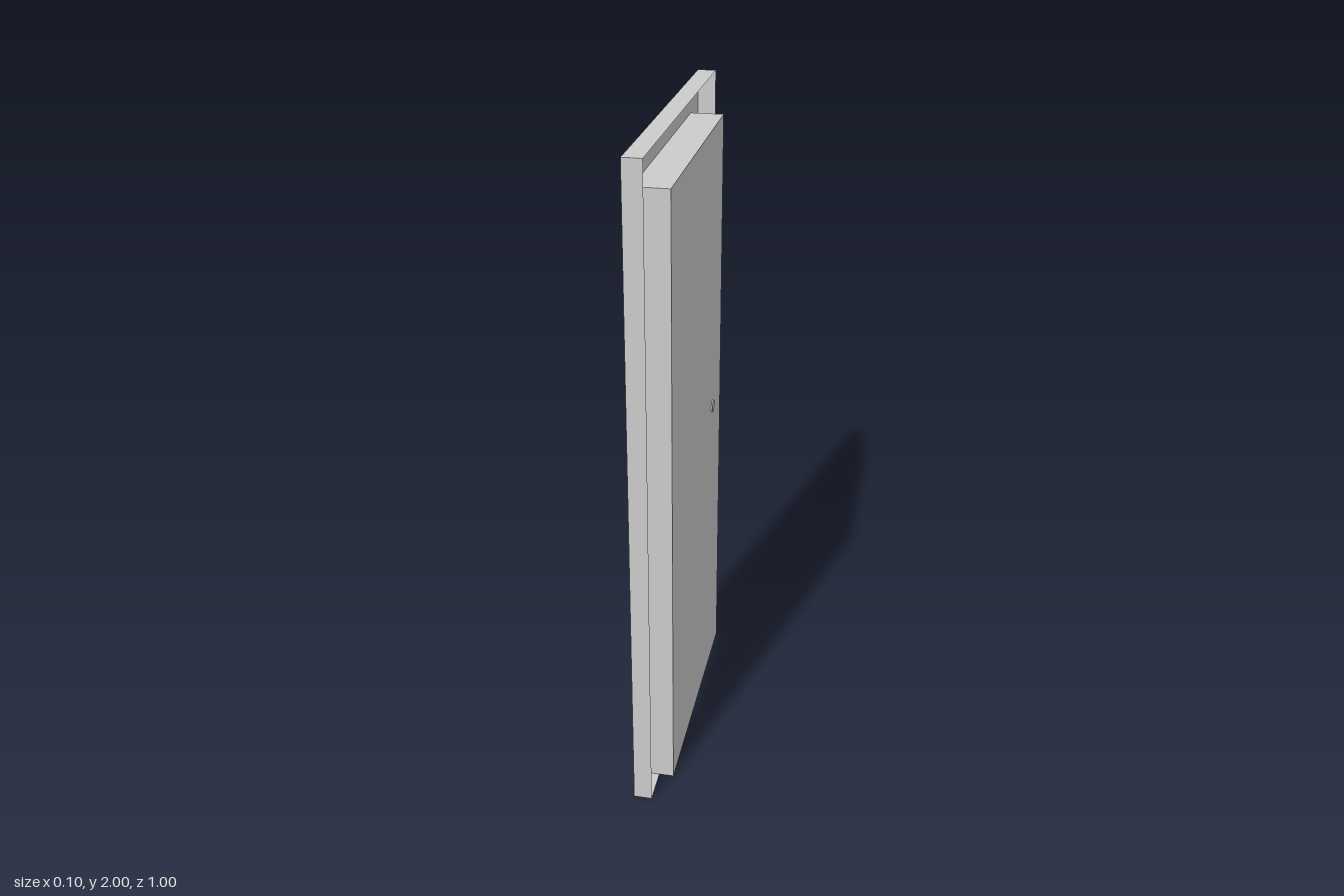
import * as THREE from 'three';

export function createModel() {
  const model = new THREE.Group();
  const material = new THREE.MeshStandardMaterial({
    color: 0xcccccc, side: THREE.DoubleSide, flatShading: true,
  });

  // Key planes: frame face, open rim of the frame, door leaf
  const faceX = -0.052, rimX = 0.003, leafX = 0.048;
  const outerZ = 0.5, outerY = 2, innerZ = 0.388, innerY = 1.895;

  function add(name, geometry, parent = model) {
    const mesh = new THREE.Mesh(geometry, material);
    mesh.name = name;
    parent.add(mesh);
    return mesh;
  }

  // Thin wall lying in a z plane, from x0 to x1
  function sideSheet(name, x0, x1, height, z, parent) {
    const g = new THREE.PlaneGeometry(x1 - x0, height);
    if (z < 0) g.rotateY(Math.PI);
    add(name, g).position.set((x0 + x1) / 2, height / 2, z);
    parent.add(model.children.at(-1));
  }

  // Thin horizontal sheet, facing up or down
  function flatSheet(name, x0, x1, z0, z1, y, up, parent) {
    const g = new THREE.PlaneGeometry(x1 - x0, z1 - z0);
    g.rotateX(up ? -Math.PI / 2 : Math.PI / 2);
    add(name, g, parent).position.set((x0 + x1) / 2, y, (z0 + z1) / 2);
  }

  const frame = new THREE.Group();
  frame.name = 'frame';
  const doorway = new THREE.Group();
  doorway.name = 'doorway';
  model.add(frame, doorway);

  // Frame face: an arch around the doorway, facing -x
  const arch = new THREE.Shape([
    [-outerZ, 0], [-innerZ, 0], [-innerZ, innerY], [innerZ, innerY],
    [innerZ, 0], [outerZ, 0], [outerZ, outerY], [-outerZ, outerY],
  ].map(([z, y]) => new THREE.Vector2(z, y)));
  add('frameFace', new THREE.ShapeGeometry(arch).rotateY(-Math.PI / 2), frame).position.x = faceX;

  // Outer walls, feet and deep jambs on both sides
  for (const s of [-1, 1]) {
    sideSheet('frameSide', faceX, rimX, outerY, s * outerZ, frame);
    sideSheet('jamb', faceX, leafX, innerY, s * innerZ, doorway);
    const [z0, z1] = s < 0 ? [-outerZ, -innerZ] : [innerZ, outerZ];
    flatSheet('frameFoot', faceX, rimX, z0, z1, 0, false, frame);
  }
  flatSheet('frameTop', faceX, rimX, -outerZ, outerZ, outerY, true, frame);
  flatSheet('lintel', faceX, leafX, -innerZ, innerZ, innerY, true, doorway);

  // Door leaf at the far end of the recess
  const leaf = new THREE.PlaneGeometry(2 * innerZ, innerY).rotateY(Math.PI / 2);
  add('doorLeaf', leaf, doorway).position.set(leafX, innerY / 2, 0);

  // Knob: stem passing through the leaf, then a faceted grip
  const profile = [[0, 0], [0.02, 0], [0.02, 0.024], [0.036, 0.032],
    [0.038, 0.045], [0.03, 0.056], [0, 0.056]].map(([r, h]) => new THREE.Vector2(r, h));
  const knob = add('doorKnob', new THREE.LatheGeometry(profile, 12).rotateZ(Math.PI / 2));
  knob.position.set(0.052, 0.992, -0.245);

  return model;
}
